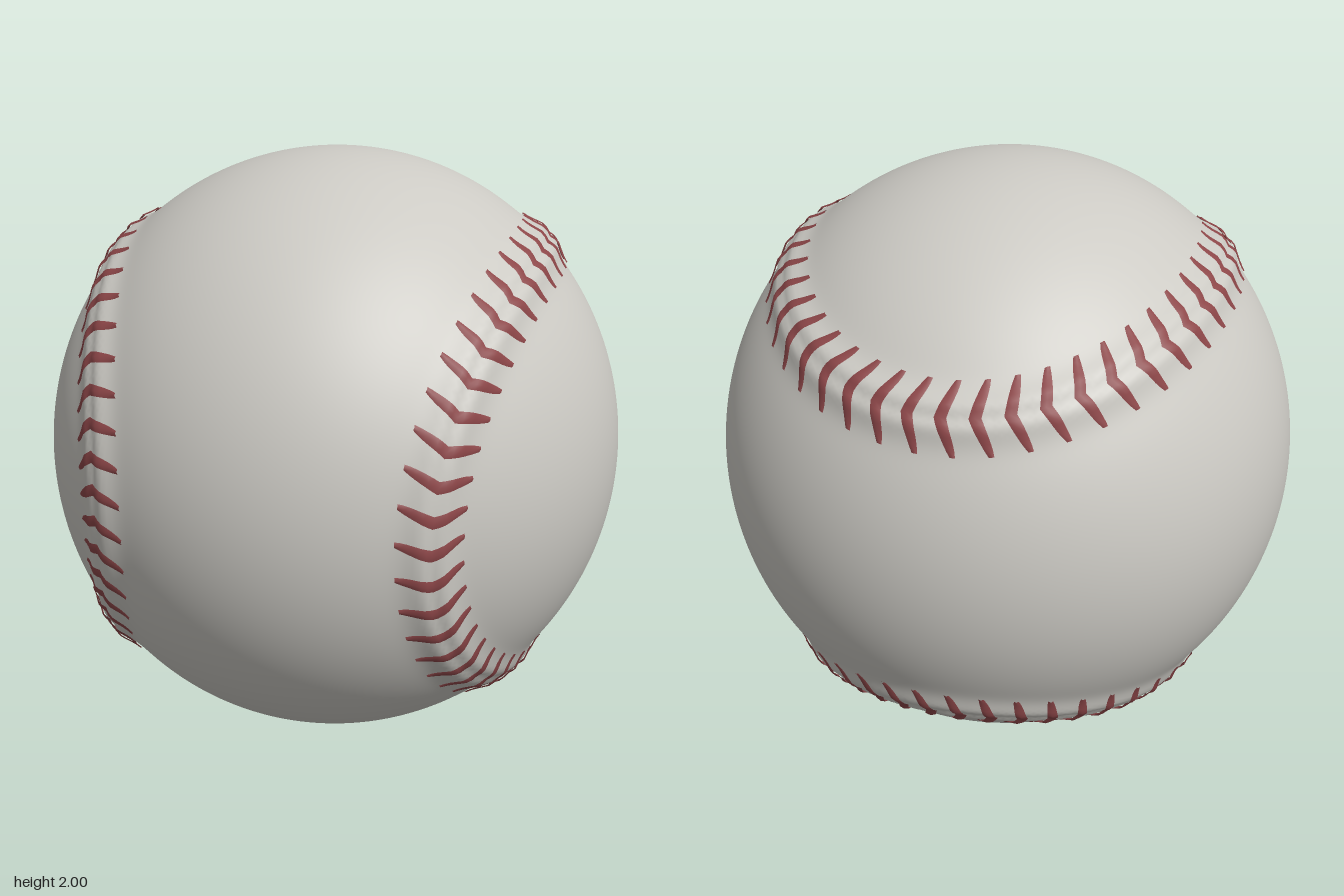
import * as THREE from 'three';
import { mergeVertices } from 'three/addons/utils/BufferGeometryUtils.js';

const STITCHES = 95;
const SAMPLES = 480;
const A = 0.76, B = 0.24;
const SCALE = new THREE.Vector3(0.973, 1, 1);

// closed seam curve lying exactly on the unit sphere (A + B = 1)
function seamPoint(t) {
  return new THREE.Vector3(
    A * Math.cos(t) - B * Math.cos(3 * t),
    A * Math.sin(t) + B * Math.sin(3 * t),
    2 * Math.sqrt(A * B) * Math.cos(2 * t)
  );
}

const seam = Array.from({ length: SAMPLES }, (_, i) => seamPoint((i / SAMPLES) * Math.PI * 2));

// raised welt along the seam with a narrow groove in its middle
function seamHeight(dir) {
  let best = 4;
  for (const p of seam) best = Math.min(best, p.distanceToSquared(dir));
  return 0.032 * Math.exp(-best / 0.0042) - 0.014 * Math.exp(-best / 0.0005);
}

// point on the ball's skin in a given direction
function skinPoint(dir, lift = 0) {
  const r = 1 + seamHeight(dir) + lift;
  const p = dir.clone().multiplyScalar(r).multiply(SCALE);
  p.y += 1;
  return p;
}

function ballGeometry() {
  let geo = new THREE.IcosahedronGeometry(1, 64);
  geo.deleteAttribute('uv');
  geo.deleteAttribute('normal');
  geo = mergeVertices(geo, 1e-4);
  const pos = geo.attributes.position;
  const v = new THREE.Vector3();
  for (let i = 0; i < pos.count; i++) {
    const p = skinPoint(v.fromBufferAttribute(pos, i).normalize());
    pos.setXYZ(i, p.x, p.y, p.z);
  }
  geo.computeVertexNormals();
  return geo;
}

// V-shaped thread ribbons laid across the seam
function stitchGeometry() {
  const rows = 12, cols = 3, halfSpan = 0.108;
  const positions = [], indices = [];
  for (let n = 0; n < STITCHES; n++) {
    const t = (n / STITCHES) * Math.PI * 2;
    const p = seamPoint(t);
    const along = seamPoint(t + 0.001).sub(seamPoint(t - 0.001)).normalize();
    const across = p.clone().cross(along).normalize();
    const start = positions.length / 3;
    for (let r = 0; r <= rows; r++) {
      const u = (r / rows) * 2 - 1;
      const half = 0.018 * Math.sqrt(1 - 0.8 * u * u);
      for (let c = 0; c < cols; c++) {
        const w = c - 1;
        const dir = p.clone()
          .addScaledVector(across, u * halfSpan)
          .addScaledVector(along, Math.abs(u) * 0.04 - 0.02 + w * half)
          .normalize();
        positions.push(...skinPoint(dir, w === 0 ? 0.009 : 0.005).toArray());
        if (r < rows && c < cols - 1) {
          const a = start + r * cols + c;
          indices.push(a, a + 1, a + cols, a + 1, a + cols + 1, a + cols);
        }
      }
    }
  }
  const geo = new THREE.BufferGeometry();
  geo.setAttribute('position', new THREE.Float32BufferAttribute(positions, 3));
  geo.setIndex(indices);
  geo.computeVertexNormals();
  return geo;
}

export function createModel() {
  const leather = new THREE.MeshStandardMaterial({ color: 0xcccac4 });
  leather.name = 'off-white leather';
  const thread = new THREE.MeshStandardMaterial({ color: 0x8c4648, side: THREE.DoubleSide });
  thread.name = 'dull red thread';

  const group = new THREE.Group();
  group.name = 'baseball';

  const ball = new THREE.Mesh(ballGeometry(), leather);
  ball.name = 'leatherCover';
  const stitches = new THREE.Mesh(stitchGeometry(), thread);
  stitches.name = 'seamStitches';
  group.add(ball, stitches);
  return group;
}
